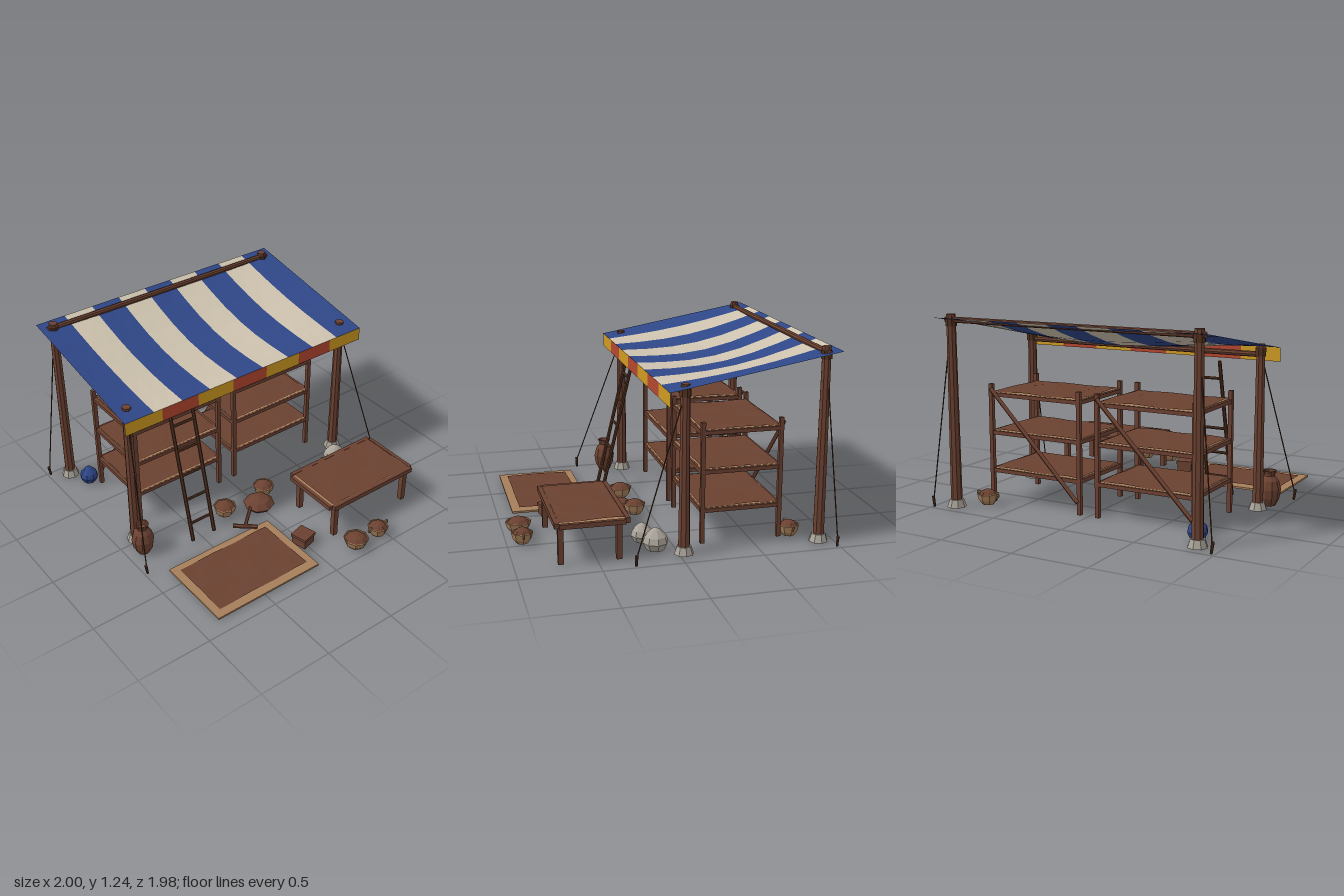
import * as THREE from 'three';

const mat = (name, color, extra = {}) => {
  const m = new THREE.MeshStandardMaterial({ color, flatShading: true, ...extra });
  m.name = name;
  return m;
};
const V = (x, y, z) => new THREE.Vector3(x, y, z);

export function createModel() {
  const both = { side: THREE.DoubleSide };
  const wood = mat('wood', 0x6b4131);
  const darkWood = mat('dark wood', 0x50301f);
  const sheetBrown = mat('brown cloth', 0x6a4130, both);
  const tan = mat('tan', 0xa67e5a, both);
  const blue = mat('blue cloth', 0x2f4788, both);
  const cream = mat('cream cloth', 0xcdc2ae, both);
  const yellow = mat('yellow cloth', 0xcf9a22, both);
  const red = mat('red cloth', 0xb4462f, both);
  const stone = mat('stone grey', 0xa8a298);

  const root = new THREE.Group();
  root.name = 'marketStall';
  const group = (name) => {
    const g = new THREE.Group();
    g.name = name;
    root.add(g);
    return g;
  };
  const add = (parent, name, geo, material, x = 0, y = 0, z = 0) => {
    const m = new THREE.Mesh(geo, material);
    m.name = name;
    m.position.set(x, y, z);
    parent.add(m);
    return m;
  };
  // box given by its limits
  const box = (parent, name, material, x0, x1, y0, y1, z0, z1) =>
    add(parent, name, new THREE.BoxGeometry(x1 - x0, y1 - y0, z1 - z0), material,
      (x0 + x1) / 2, (y0 + y1) / 2, (z0 + z1) / 2);
  // round or square bar between two points
  const rod = (parent, name, material, a, b, r0, r1 = r0, sides = 8) => {
    const dir = b.clone().sub(a);
    const m = add(parent, name, new THREE.CylinderGeometry(r1, r0, dir.length(), sides), material);
    m.position.copy(a).add(b).multiplyScalar(0.5);
    m.quaternion.setFromUnitVectors(V(0, 1, 0), dir.normalize());
    return m;
  };
  const lathe = (parent, name, material, pts, x, z, sides = 8) =>
    add(parent, name, new THREE.LatheGeometry(pts.map((p) => new THREE.Vector2(...p)), sides), material, x, 0, z);
  // thin, slightly uneven sheet lying on a board
  const sheet = (parent, name, x0, x1, y, z0, z1) => {
    const geo = new THREE.PlaneGeometry(x1 - x0, z1 - z0, 8, 6).rotateX(-Math.PI / 2);
    const p = geo.attributes.position;
    for (let i = 0; i < p.count; i++) {
      p.setY(i, 0.004 * Math.sin(p.getX(i) * 17 + y * 9) * Math.cos(p.getZ(i) * 15 + y * 5));
    }
    add(parent, name, geo, sheetBrown, (x0 + x1) / 2, y, (z0 + z1) / 2);
  };

  // sagging striped awning
  const awning = group('awning');
  const W = 0.945, zF = 0.085, zB = -0.98, yF = 1.03, yB = 1.22;
  const stripe = (2 * W) / 9;
  for (let i = 0; i < 9; i++) {
    const geo = new THREE.PlaneGeometry(stripe, 1, 2, 6).rotateX(-Math.PI / 2);
    const p = geo.attributes.position;
    for (let k = 0; k < p.count; k++) {
      const x = p.getX(k) - W + stripe * (i + 0.5);
      const t = 0.5 - p.getZ(k);
      const sag = 0.075 * Math.sin(Math.PI * t) * Math.cos((Math.PI / 2) * (x / W));
      p.setXYZ(k, x, yF + (yB - yF) * t - sag, zF + (zB - zF) * t);
    }
    geo.computeVertexNormals();
    add(awning, 'awningStripe', geo, i % 2 ? cream : blue);
  }
  const flap = (2 * W) / 7;
  for (let i = 0; i < 7; i++) {
    add(awning, 'valancePanel', new THREE.PlaneGeometry(flap, 0.09), i % 2 ? red : yellow,
      -W + flap * (i + 0.5), 0.985, zF);
  }

  // posts on stone feet, with lashings, ropes and stakes
  const frame = group('frame');
  for (const [z, h, tieY, stakeZ] of [[-0.03, 1.06, 1.01, 0.295], [-0.905, 1.24, 1.19, -0.98]]) {
    for (const s of [-1, 1]) {
      const x = s * 0.86;
      rod(frame, 'post', wood, V(x, 0, z), V(x, h, z), 0.037, 0.029);
      add(frame, 'postFoot', new THREE.CylinderGeometry(0.045, 0.062, 0.05, 8), stone, x, 0.025, z);
      add(frame, 'lashing', new THREE.CylinderGeometry(0.036, 0.036, 0.05, 8), darkWood, x, tieY, z);
      const foot = V(s * 0.985, 0.05, stakeZ);
      rod(frame, 'guyRope', darkWood, V(x, tieY, z), foot, 0.004, 0.004, 5);
      rod(frame, 'stake', darkWood, V(s * 0.98, 0, stakeZ), V(s * 0.99, 0.07, stakeZ), 0.008, 0.01, 6);
    }
  }
  rod(frame, 'rearBeam', wood, V(-0.9, 1.205, -0.905), V(0.9, 1.205, -0.905), 0.019);
  rod(frame, 'frontBeam', wood, V(-0.88, 0.995, -0.03), V(0.88, 0.995, -0.03), 0.018);

  // two shelving racks
  for (const [x0, x1] of [[-0.745, -0.055], [0.05, 0.74]]) {
    const rack = group('shelfRack');
    const z0 = -0.7, z1 = -0.17, t = 0.027;
    for (const x of [x0, x1 - t]) {
      for (const z of [z0, z1 - t]) box(rack, 'rackPost', wood, x, x + t, 0, 0.78, z, z + t);
    }
    for (const y of [0.2, 0.45, 0.7]) {
      for (const z of [z0, z1 - t]) box(rack, 'longRail', wood, x0 + t, x1 - t, y, y + 0.025, z + 0.003, z + t - 0.003);
      for (const x of [x0, x1 - t]) box(rack, 'endRail', wood, x + 0.003, x + t - 0.003, y, y + 0.025, z0 + t, z1 - t);
      box(rack, 'shelfBoard', tan, x0 + t, x1 - t, y + 0.012, y + 0.026, z0 + 0.015, z1 - 0.015);
      sheet(rack, 'shelfCover', x0 + 0.025, x1 - 0.025, y + 0.032, z0 + 0.02, z1 - 0.02);
    }
    rod(rack, 'rackBrace', wood, V(x0 + 0.02, 0.08, z0 - 0.005), V(x1 - 0.02, 0.75, z0 - 0.005), 0.016, 0.016, 4);
  }

  // leaning ladder
  const ladder = group('ladder');
  const ladderZ = (y) => 0.215 - 0.225 * (y / 0.94);
  for (const x of [-0.57, -0.4]) {
    rod(ladder, 'ladderRail', darkWood, V(x, 0, ladderZ(0)), V(x, 0.93, ladderZ(0.93)), 0.013, 0.012, 6);
  }
  for (let i = 0; i < 5; i++) {
    const y = 0.125 + i * 0.172;
    rod(ladder, 'ladderRung', darkWood, V(-0.575, y, ladderZ(y)), V(-0.395, y, ladderZ(y)), 0.01, 0.01, 6);
  }

  // low table
  const table = group('table');
  box(table, 'tableBoard', tan, 0.18, 0.87, 0.245, 0.262, 0.325, 0.745);
  sheet(table, 'tableCover', 0.19, 0.86, 0.27, 0.335, 0.735);
  for (const z of [0.305, 0.735]) box(table, 'longEdge', wood, 0.18, 0.875, 0.235, 0.268, z, z + 0.027);
  for (const x of [0.155, 0.87]) box(table, 'endEdge', wood, x, x + 0.025, 0.235, 0.265, 0.335, 0.735);
  for (const x of [0.2, 0.82]) {
    for (const z of [0.35, 0.705]) box(table, 'tableLeg', wood, x, x + 0.035, 0, 0.245, z, z + 0.035);
  }

  // ground mat
  const rug = group('groundMat');
  box(rug, 'matBorder', tan, -0.86, -0.065, 0.002, 0.015, 0.365, 0.9);
  sheet(rug, 'matCentre', -0.81, -0.12, 0.022, 0.415, 0.845);

  // filled bowls
  const bowl = (x, z, r, lugs) => {
    const g = group('bowl');
    lathe(g, 'bowlBody', tan, [[0, 0], [r * 0.55, 0], [r * 0.85, 0.03], [r, 0.07], [r * 0.92, 0.072], [r * 0.85, 0.06]], x, z);
    lathe(g, 'bowlContents', wood, [[r * 0.88, 0.064], [r * 0.6, 0.086], [r * 0.25, 0.098], [0, 0.1]], x, z);
    if (lugs) {
      for (const s of [-1, 1]) add(g, 'bowlLug', new THREE.TorusGeometry(0.016, 0.006, 5, 8), tan, x + s * r, 0.065, z);
    }
  };
  bowl(0.255, 0.9, 0.085, false);
  bowl(0.45, 0.9, 0.07, true);
  bowl(-0.24, 0.12, 0.08, false);
  bowl(0.11, 0.1, 0.075, false);
  bowl(0.72, -0.76, 0.07, true);

  // tied sacks
  for (const [x, z, r, h, m] of [[0.6, 0.17, 0.072, 0.125, stone], [0.75, 0.12, 0.082, 0.145, stone], [-0.79, -0.76, 0.065, 0.125, blue]]) {
    lathe(root, 'sack', m, [[0, 0], [r * 0.7, 0], [r, h * 0.33], [r * 0.85, h * 0.6], [r * 0.35, h * 0.88], [0, h]], x, z);
  }

  // tall jar
  lathe(root, 'jar', wood, [[0, 0], [0.042, 0], [0.066, 0.05], [0.075, 0.11], [0.06, 0.165], [0.035, 0.195],
    [0.036, 0.21], [0.046, 0.23], [0.036, 0.23], [0.028, 0.2], [0, 0.19]], -0.885, 0.1, 10);

  // loose heap
  lathe(root, 'heap', wood, [[0, 0], [0.09, 0], [0.108, 0.025], [0.07, 0.06], [0, 0.08]], 0, 0.19);

  // small crate
  const crate = group('crate');
  crate.position.set(0, 0, 0.665);
  crate.rotation.y = 0.25;
  box(crate, 'crateBody', wood, -0.052, 0.052, 0, 0.062, -0.052, 0.052);
  box(crate, 'crateLid', wood, -0.058, 0.058, 0.058, 0.078, -0.058, 0.058);

  // mallet on the ground
  const mallet = group('mallet');
  rod(mallet, 'malletHandle', wood, V(-0.225, 0.025, 0.33), V(-0.08, 0.03, 0.2), 0.012, 0.012, 6);
  rod(mallet, 'malletHead', wood, V(-0.29, 0.025, 0.28), V(-0.165, 0.025, 0.385), 0.015, 0.015, 6);

  return root;
}
